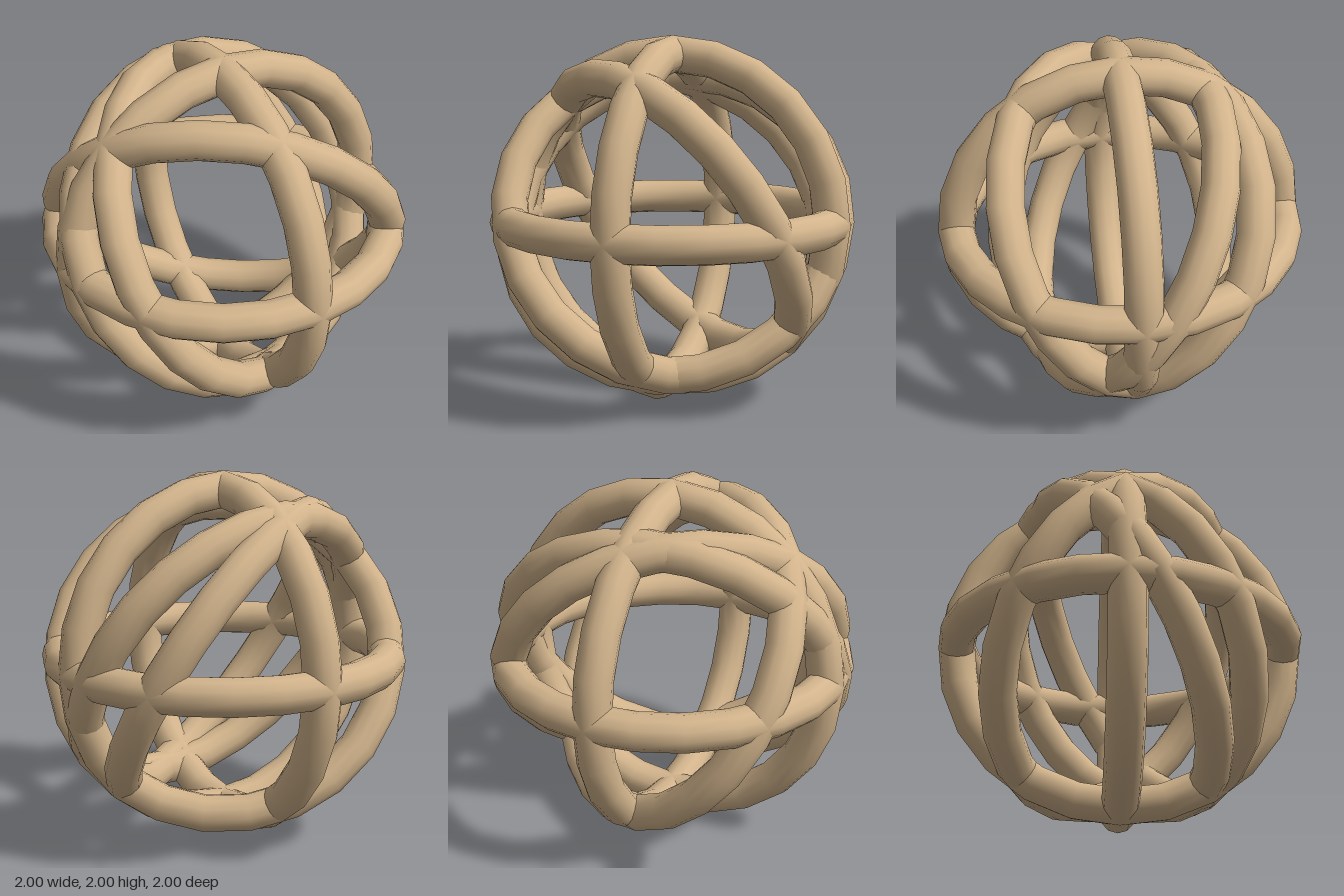
import * as THREE from 'three';

export function createModel() {
  const model = new THREE.Group();
  model.name = 'ringSphere';
  const tan = new THREE.MeshStandardMaterial({ color: 0xd2b48c });
  tan.name = 'tan';

  // One hoop shape shared by all rings
  const hoop = new THREE.TorusGeometry(0.9, 0.1, 12, 24);

  // name, rotation x, y, z in degrees, rotation order
  const rings = [
    ['frontRing', 0, 0, 0, 'XYZ'],
    ['sideRing', 0, 90, 0, 'XYZ'],
    ['levelRing', 90, 0, 0, 'XYZ'],
    ['diagonalRingBack', 45, 0, -45, 'ZXY'],
    ['diagonalRingFront', -45, 0, -45, 'ZXY'],
    ['leaningRing', -30, 10, 0, 'YXZ'],
  ];

  for (const [name, x, y, z, order] of rings) {
    const ring = new THREE.Mesh(hoop, tan);
    ring.name = name;
    const rad = THREE.MathUtils.degToRad;
    ring.rotation.set(rad(x), rad(y), rad(z), order);
    ring.position.y = 1;
    model.add(ring);
  }
  return model;
}
